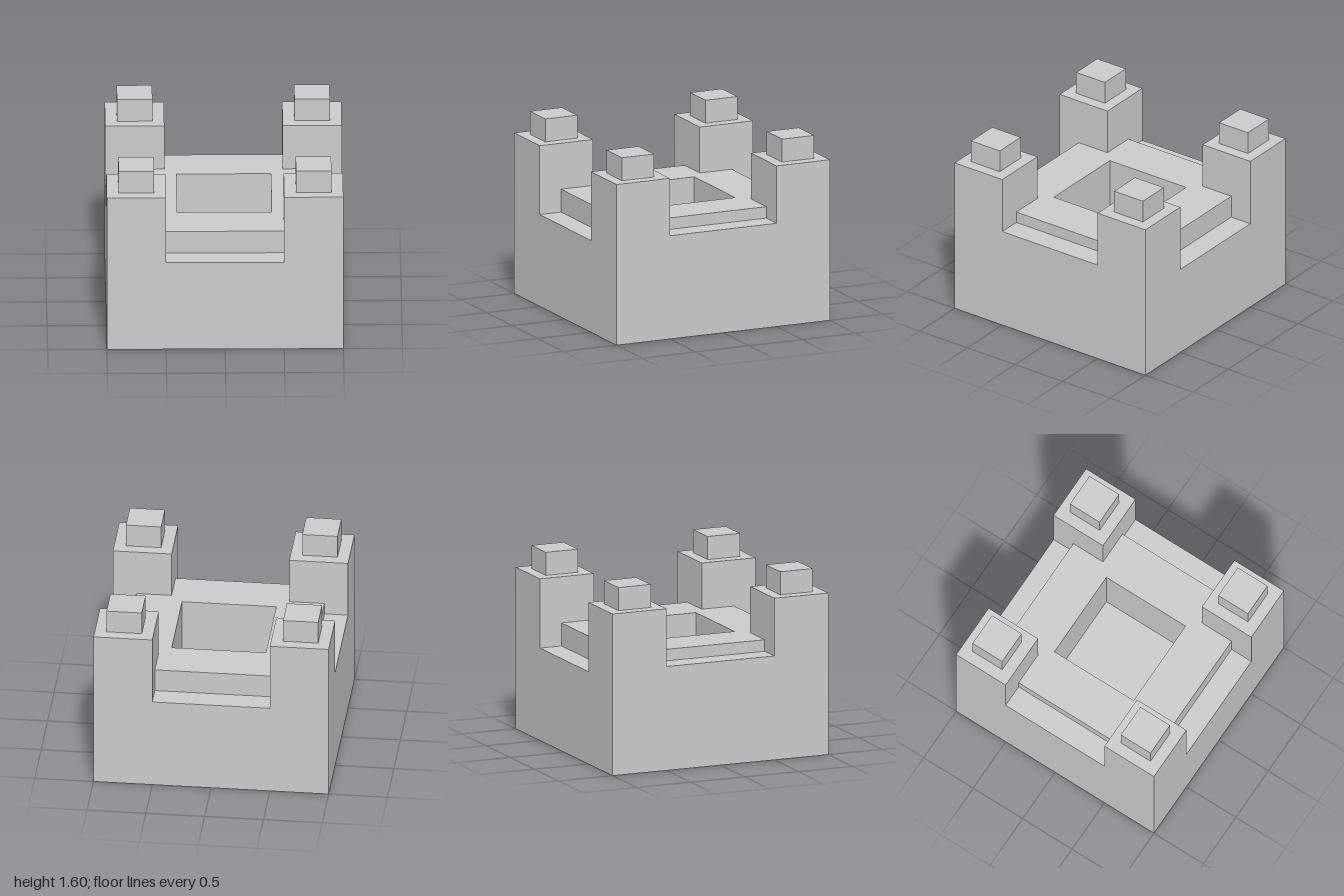
import * as THREE from 'three';

const material = new THREE.MeshStandardMaterial({ color: 0xcccccc, flatShading: true });
const PIT = 0.4; // half width of the central pit
const FLOOR = 0.4; // height of the pit floor

export function createModel() {
  const group = new THREE.Group();

  function add(name, geometry, x, y, z) {
    const mesh = new THREE.Mesh(geometry, material);
    mesh.name = name;
    mesh.position.set(x, y, z);
    group.add(mesh);
  }

  // Box standing on height y0
  function block(name, width, y0, y1, x = 0, z = 0) {
    add(name, new THREE.BoxGeometry(width, y1 - y0, width), x, (y0 + y1) / 2, z);
  }

  // Horizontal slab with the square pit cut through it
  function slab(name, outline, y0, y1) {
    const shape = new THREE.Shape(outline.map(([x, z]) => new THREE.Vector2(x, z)));
    const pit = [[-PIT, -PIT], [-PIT, PIT], [PIT, PIT], [PIT, -PIT]];
    shape.holes.push(new THREE.Path(pit.map(([x, z]) => new THREE.Vector2(x, z))));
    const geometry = new THREE.ExtrudeGeometry(shape, { depth: y1 - y0, bevelEnabled: false });
    geometry.rotateX(-Math.PI / 2);
    add(name, geometry, 0, y0, 0);
  }

  // Cross-shaped plan that fits between the corner towers
  const cross = (armX, armZ, c = 0.5) => [
    [armX, -c], [armX, c], [c, c], [c, armZ], [-c, armZ], [-c, c],
    [-armX, c], [-armX, -c], [-c, -c], [-c, -armZ], [c, -armZ], [c, -c],
  ];

  // Solid base and the walls around the pit
  block('base', 2, 0, FLOOR);
  slab('walls', [[-1, -1], [1, -1], [1, 1], [-1, 1]], FLOOR, 0.8);

  // Stepped deck: side ledges sit higher than the front and back ones
  slab('sideLedges', cross(1, 0.8), 0.8, 0.9);
  slab('deck', cross(0.8, 0.8), 0.9, 1);

  // Corner towers, each with a small cap
  for (const x of [-0.75, 0.75]) {
    for (const z of [-0.75, 0.75]) {
      block('tower', 0.5, 0.8, 1.4, x, z);
      block('towerCap', 0.3, 1.4, 1.6, x, z);
    }
  }
  return group;
}
